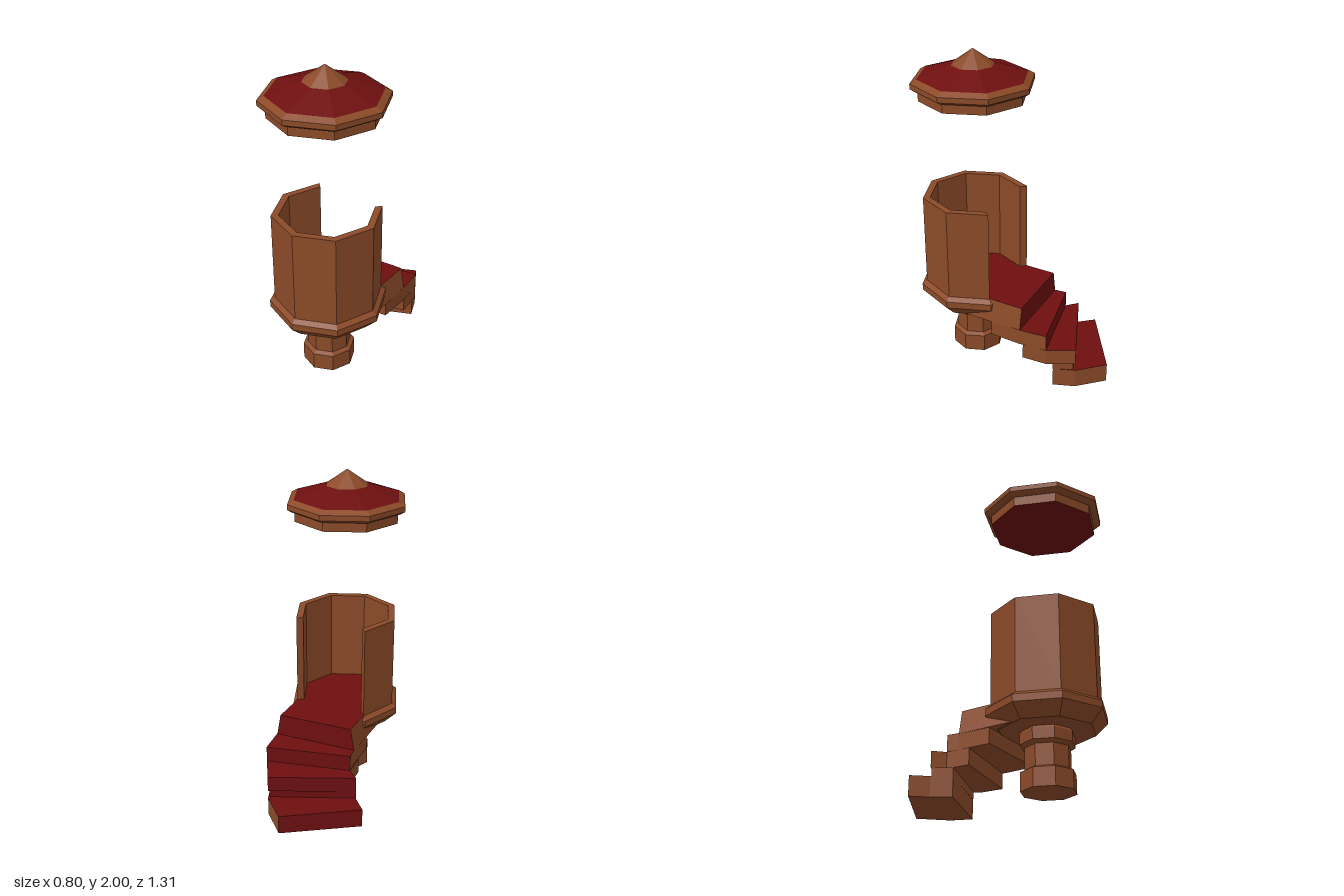
import * as THREE from 'three';

const wood = new THREE.MeshStandardMaterial({ color: 0x8b4a28, flatShading: true });
wood.name = 'wood';
const red = new THREE.MeshStandardMaterial({ color: 0x6e0f10, flatShading: true });
red.name = 'red carpet';

const AXIS_X = 0.02, AXIS_Z = 0.28;

function add(parent, name, geometry, material) {
  const mesh = new THREE.Mesh(geometry, material);
  mesh.name = name;
  parent.add(mesh);
  return mesh;
}

// Eight-sided turned part; profile is [radius, height] from bottom to top.
function octagon(profile) {
  return new THREE.LatheGeometry(profile.map(([r, y]) => new THREE.Vector2(r, y)), 8);
}

// Curved stair block between an outer and an inner edge, listed from back to front as [x, z].
// The tread and riser use material 1, the other faces material 0.
function stairBlock(outer, inner, bottom, top, flare = 0) {
  const faces = [[], []];
  const quad = (m, a, b, c, d) => faces[m].push(...a, ...b, ...c, ...a, ...c, ...d);
  const oT = outer.map(([x, z]) => [x, top, z]);
  const iT = inner.map(([x, z]) => [x, top, z]);
  const oB = outer.map(([x, z]) => [x + flare, bottom, z]);
  const iB = inner.map(([x, z]) => [x - flare, bottom, z]);
  const n = outer.length - 1;
  for (let i = 0; i < n; i++) {
    quad(1, oT[i], oT[i + 1], iT[i + 1], iT[i]);
    quad(0, iB[i], iB[i + 1], oB[i + 1], oB[i]);
    quad(0, oB[i], oB[i + 1], oT[i + 1], oT[i]);
    quad(0, iB[i + 1], iB[i], iT[i], iT[i + 1]);
  }
  quad(1, oB[n], iB[n], iT[n], oT[n]);
  quad(0, iB[0], oB[0], oT[0], iT[0]);
  const g = new THREE.BufferGeometry();
  g.setAttribute('position', new THREE.Float32BufferAttribute([...faces[0], ...faces[1]], 3));
  g.addGroup(0, faces[0].length / 3, 0);
  g.addGroup(faces[0].length / 3, faces[1].length / 3, 1);
  g.computeVertexNormals();
  return g;
}

export function createModel() {
  const model = new THREE.Group();
  model.name = 'pulpit';
  const body = new THREE.Group();
  body.name = 'body';
  body.position.set(AXIS_X, 0, AXIS_Z);
  model.add(body);

  // Pedestal with a wide foot and collar
  add(body, 'pedestal', octagon([
    [0, 0.01], [0.162, 0.01], [0.162, 0.12], [0.135, 0.135], [0.135, 0.262],
    [0.162, 0.28], [0.162, 0.345], [0.15, 0.362]]), wood);

  // Bowl under the drum
  add(body, 'bowl', octagon([
    [0, 0.36], [0.285, 0.36], [0.36, 0.437], [0.36, 0.48], [0.33, 0.503], [0, 0.503]]), wood);
  add(body, 'floor', new THREE.CylinderGeometry(0.3, 0.3, 0.006, 8), red).position.y = 0.505;

  // Drum wall, open on the two rear sides
  const wall = new THREE.Shape();
  const ring = (r, a) => [r * Math.sin(a), -r * Math.cos(a)];
  for (let i = -3; i <= 3; i++) {
    const p = ring(0.33, i * Math.PI / 4);
    if (i === -3) wall.moveTo(...p); else wall.lineTo(...p);
  }
  for (let i = 3; i >= -3; i--) wall.lineTo(...ring(0.285, i * Math.PI / 4));
  wall.closePath();
  const drum = add(body, 'drumWall',
    new THREE.ExtrudeGeometry(wall, { depth: 0.585, bevelEnabled: false }), wood);
  drum.rotation.x = -Math.PI / 2;
  drum.position.y = 0.5;

  // Canopy floating above the drum
  const canopy = new THREE.Group();
  canopy.name = 'canopy';
  body.add(canopy);
  add(canopy, 'canopyRim', octagon([
    [0.33, 1.708], [0.33, 1.768], [0.35, 1.768], [0.375, 1.785], [0.375, 1.817], [0.335, 1.84]]), wood);
  add(canopy, 'canopyRoof', octagon([[0.335, 1.84], [0.13, 1.907]]), red);
  add(canopy, 'canopyTip', octagon([[0.13, 1.907], [0, 2]]), wood);
  add(canopy, 'canopyCeiling', octagon([[0, 1.708], [0.33, 1.708]]), red);

  // Winding stairs: front edge of each tread on the outer and inner side
  const o = [[0.282, -0.182], [0.262, -0.355], [0.17, -0.513], [0.02, -0.657]];
  const n = [[-0.24, -0.152], [-0.25, -0.228], [-0.318, -0.288], [-0.4, -0.375]];
  const stairs = new THREE.Group();
  stairs.name = 'stairs';
  model.add(stairs);
  const step = (name, ...args) => add(stairs, name, stairBlock(...args), [wood, red]);
  step('landing', [[0.255, 0.2], [0.255, -0.182]], [[-0.215, 0.2], [-0.215, -0.152]], 0.365, 0.51, 0.026);
  step('upperStep', [[0.275, 0.022], o[0], o[1]], [[-0.235, 0.055], n[0], n[1]], 0.27, 0.37);
  step('middleStep', [[0.272, -0.2], o[1], o[2]], [[-0.24, -0.08], n[1], n[2]], 0.17, 0.268);
  step('lowerStep', [[0.222, -0.385], o[2], o[3]], [[-0.25, -0.18], n[2], n[3]], 0, 0.12);
  step('stepBacking', [[0.225, -0.385], [0.168, -0.497]], [[-0.25, -0.18], [-0.315, -0.283]], 0.12, 0.17);
  return model;
}
